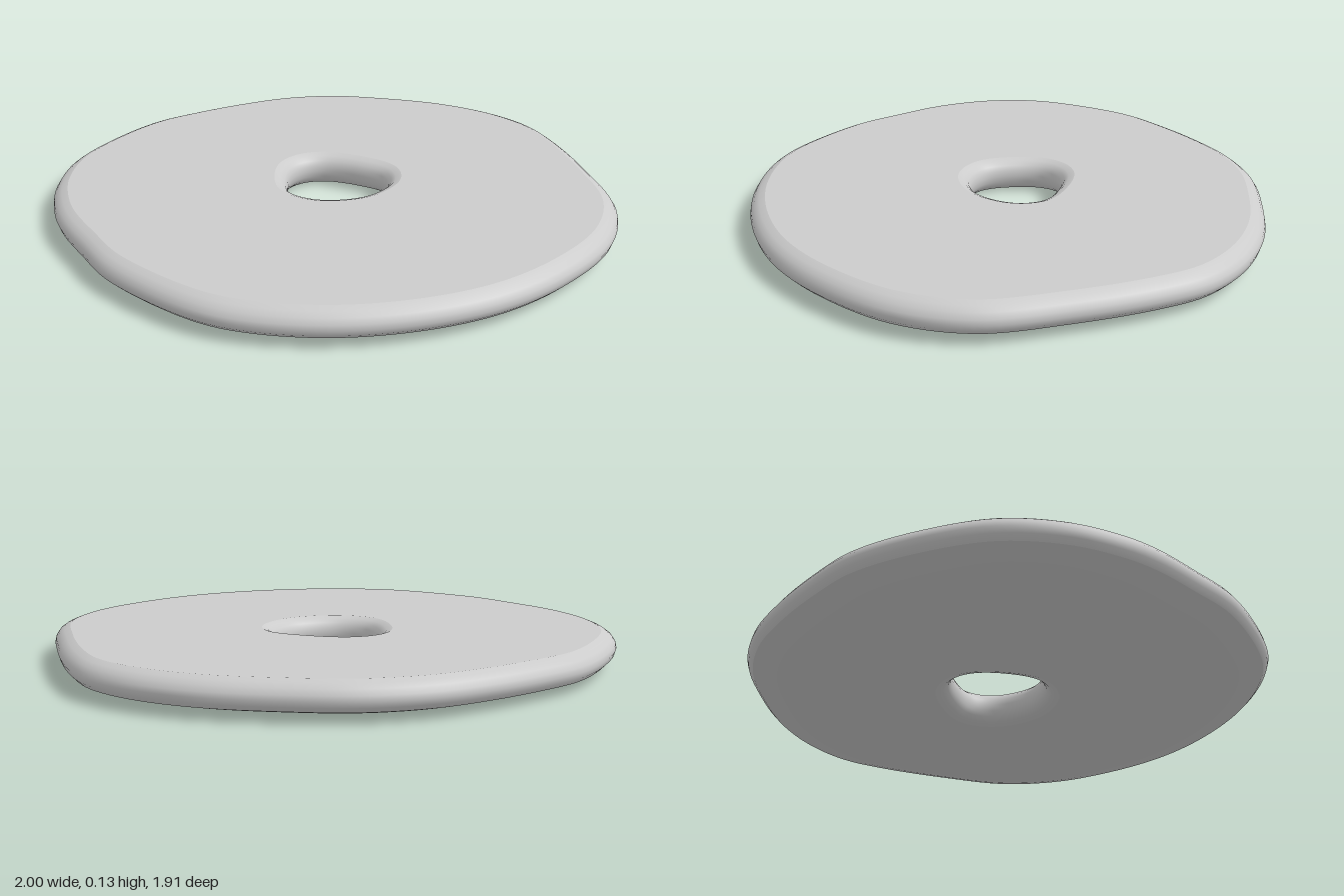
import * as THREE from 'three';

const SEGMENTS = 160;

// Outlines as [x, z], starting at the back and running round by the right side (-x)
const OUTER = [
  [0, -0.96], [-0.22, -0.957], [-0.4, -0.935], [-0.61, -0.845], [-0.82, -0.695], [-0.94, -0.51],
  [-0.99, -0.33], [-1, -0.2], [-0.985, -0.02], [-0.955, 0.19], [-0.8, 0.535], [-0.67, 0.68],
  [-0.45, 0.825], [-0.18, 0.92], [0.085, 0.95], [0.35, 0.91], [0.62, 0.8], [0.81, 0.615],
  [0.915, 0.34], [0.985, 0.05], [0.997, -0.13], [0.94, -0.33], [0.81, -0.535], [0.61, -0.725],
  [0.43, -0.855], [0.22, -0.935],
];
const HOLE = [
  [-0.02, -0.24], [-0.085, -0.22], [-0.145, -0.145], [-0.18, -0.025], [-0.12, 0.075],
  [0.03, 0.125], [0.165, 0.07], [0.2, -0.015], [0.14, -0.13], [0.05, -0.22],
];

// Samples a smooth closed outline into points with inward directions
function sampleOutline(points) {
  const curve = new THREE.CatmullRomCurve3(points.map(([x, z]) => new THREE.Vector3(x, 0, z)), true);
  return Array.from({ length: SEGMENTS }, (_, i) => {
    const p = curve.getPointAt(i / SEGMENTS);
    const t = curve.getTangentAt(i / SEGMENTS);
    return { p, inward: new THREE.Vector3(t.z, 0, -t.x) };
  });
}

// A ring parallel to an outline: moved inward by inset, raised to y
const ring = (outline, inset, y) =>
  outline.map(({ p, inward }) => p.clone().addScaledVector(inward, inset).setY(y));

const blend = (a, b, t, y) => a.map((p, i) => p.clone().lerp(b[i], t).setY(y));

// Joins consecutive rings into one smooth surface
function skin(name, rings, material) {
  const index = [];
  for (let r = 0; r < rings.length - 1; r++) {
    for (let i = 0; i < SEGMENTS; i++) {
      const j = (i + 1) % SEGMENTS;
      const a = r * SEGMENTS, b = a + SEGMENTS;
      index.push(a + i, a + j, b + i, a + j, b + j, b + i);
    }
  }
  const geometry = new THREE.BufferGeometry().setFromPoints(rings.flat());
  geometry.setIndex(index);
  geometry.computeVertexNormals();
  const mesh = new THREE.Mesh(geometry, material);
  mesh.name = name;
  return mesh;
}

export function createModel() {
  const group = new THREE.Group();
  group.name = 'piercedStoneDisc';
  const material = new THREE.MeshStandardMaterial({ color: 0xcccccc });
  const outer = sampleOutline(OUTER);
  const hole = sampleOutline(HOLE);

  // Rounded outer rim, from the lower crease up to the flat top
  const rim = [
    [0.022, 0.035], [0.006, 0.052], [0, 0.072], [0.004, 0.09],
    [0.016, 0.108], [0.034, 0.121], [0.056, 0.13],
  ].map(([inset, y]) => ring(outer, inset, y));

  // Rounded wall of the hole, from top to bottom
  const wall = [
    [-0.05, 0.13], [-0.028, 0.122], [-0.012, 0.108], [-0.003, 0.09], [0, 0.068],
    [-0.004, 0.045], [-0.014, 0.025], [-0.032, 0.009], [-0.06, 0],
  ].map(([inset, y]) => ring(hole, inset, y));

  // Shallow convex underside, from the hole out to the lower crease
  const bottomEdge = wall[wall.length - 1];
  const underside = [bottomEdge];
  for (const [t, y] of [[0.3, 0], [0.55, 0.002], [0.72, 0.005], [0.84, 0.011], [0.93, 0.021], [1, 0.035]]) {
    underside.push(blend(bottomEdge, rim[0], t, y));
  }

  group.add(
    skin('outerRim', rim, material),
    skin('topFace', [rim[rim.length - 1], wall[0]], material),
    skin('holeWall', wall, material),
    skin('underside', underside, material),
  );
  return group;
}
